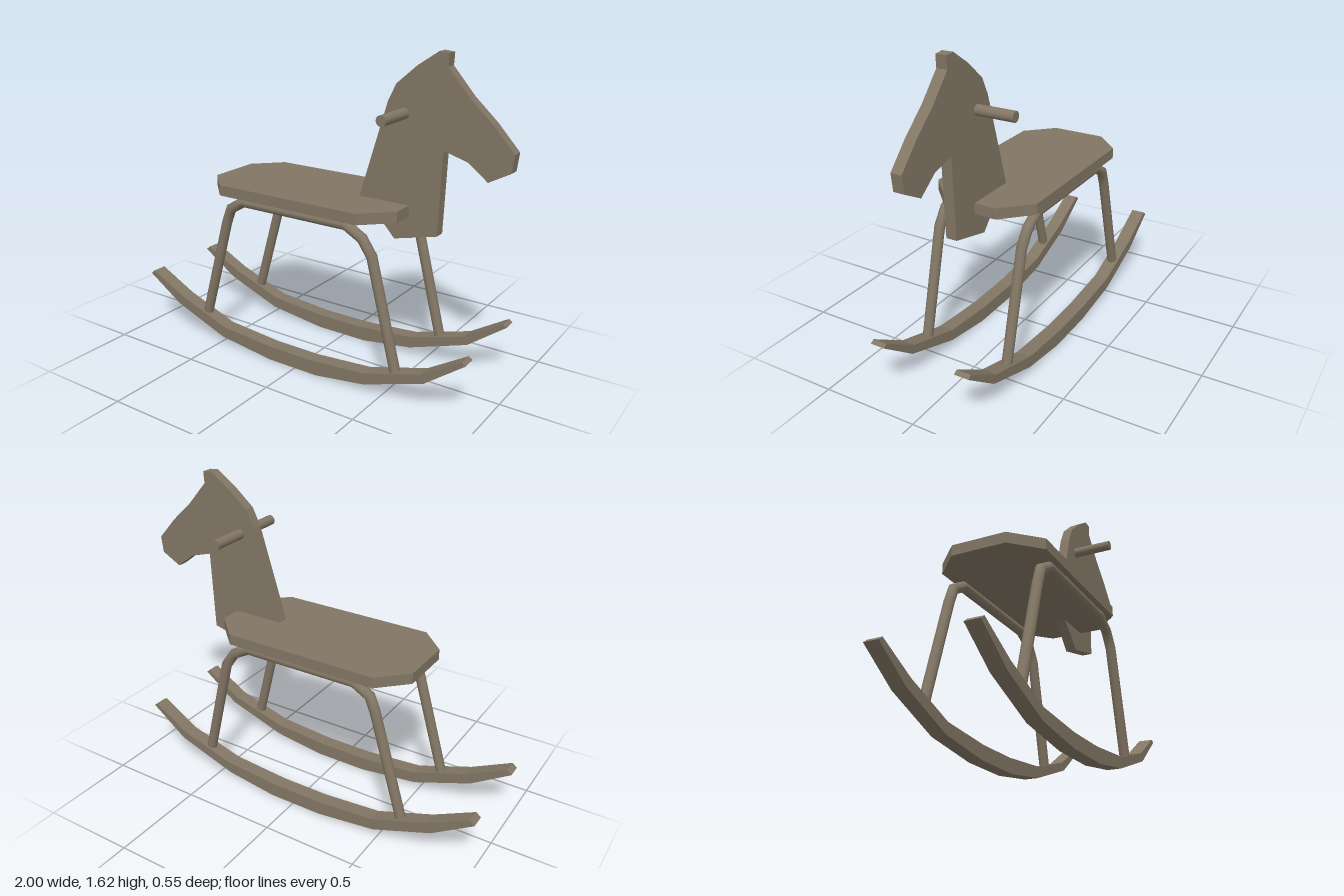
import * as THREE from 'three';

const wood = new THREE.MeshStandardMaterial({ color: 0x827664 });
wood.name = 'wood';

function part(name, geometry) {
  const mesh = new THREE.Mesh(geometry, wood);
  mesh.name = name;
  return mesh;
}

// Flat board cut from an outline, centred on its own thickness
function board(points, thickness) {
  const shape = new THREE.Shape(points.map(([x, y]) => new THREE.Vector2(x, y)));
  const geometry = new THREE.ExtrudeGeometry(shape, { depth: thickness, bevelEnabled: false });
  return geometry.translate(0, 0, -thickness / 2);
}

// Round bar bent along a path in the xy plane, with mitred corners
function bentBar(path, radius) {
  const rows = path.length - 1;
  const geometry = new THREE.CylinderGeometry(radius, radius, 1, 20, rows);
  const pts = path.map(([x, y]) => new THREE.Vector2(x, y));
  const frames = pts.map((p, i) => {
    const a = pts[Math.max(i - 1, 0)], b = pts[Math.min(i + 1, rows)];
    const into = (i > 0 ? p.clone().sub(a) : b.clone().sub(p)).normalize();
    const out = (i < rows ? b.clone().sub(p) : into.clone()).normalize();
    const t = into.clone().add(out).normalize();
    return { p, nx: t.y, ny: -t.x, scale: 1 / t.dot(into) };
  });
  const pos = geometry.attributes.position;
  for (let i = 0; i < pos.count; i++) {
    const f = frames[Math.round((pos.getY(i) + 0.5) * rows)];
    const offset = pos.getX(i) * f.scale;
    pos.setXY(i, f.p.x + f.nx * offset, f.p.y + f.ny * offset);
  }
  geometry.computeVertexNormals();
  return geometry;
}

export function createModel() {
  const group = new THREE.Group();
  group.name = 'rockingHorse';

  // Seat: octagonal board laid flat
  const seat = part('seat', board([
    [-0.59, -0.14], [-0.455, -0.275], [0.36, -0.275], [0.5, -0.14],
    [0.5, 0.14], [0.36, 0.275], [-0.455, 0.275], [-0.59, 0.14],
  ], 0.055));
  seat.rotation.x = -Math.PI / 2;
  seat.position.y = 0.872;
  group.add(seat);

  // Head and neck: one silhouette board through the seat
  const head = part('head', board([
    [0.425, 0.72], [0.65, 0.775], [0.665, 1.185], [0.785, 1.15], [0.885, 1.073],
    [0.99, 1.13], [1.0, 1.215], [0.895, 1.33], [0.78, 1.435], [0.67, 1.56],
    [0.673, 1.62], [0.625, 1.625], [0.52, 1.555], [0.415, 1.465], [0.373, 1.38],
    [0.225, 0.895], [0.3, 0.835], [0.37, 0.78],
  ], 0.055));
  group.add(head);

  // Handle through the head
  const handle = part('handle', new THREE.CylinderGeometry(0.026, 0.026, 0.46, 20));
  handle.rotation.x = Math.PI / 2;
  handle.position.set(0.46, 1.332, 0.006);
  group.add(handle);

  // One bent leg frame and one curved rocker per side
  const legs = bentBar([
    [-0.612, 0.14], [-0.452, 0.69], [-0.42, 0.77], [-0.335, 0.819],
    [0.28, 0.819], [0.37, 0.77], [0.425, 0.69], [0.563, 0.14],
  ], 0.026);
  const rocker = board([
    [-1.0, 0.29], [-0.79, 0.155], [-0.48, 0.04], [-0.16, 0], [0.13, 0],
    [0.41, 0.04], [0.735, 0.15], [0.935, 0.3], [0.915, 0.313], [0.715, 0.19],
    [0.41, 0.1], [0.1, 0.075], [-0.16, 0.075], [-0.47, 0.1], [-0.765, 0.205],
    [-0.975, 0.31],
  ], 0.075);
  for (const [side, s] of [['front', 1], ['back', -1]]) {
    const legMesh = part(side + 'Legs', legs);
    const rockerMesh = part(side + 'Rocker', rocker);
    legMesh.position.z = rockerMesh.position.z = s * 0.23;
    group.add(legMesh, rockerMesh);
  }

  return group;
}
